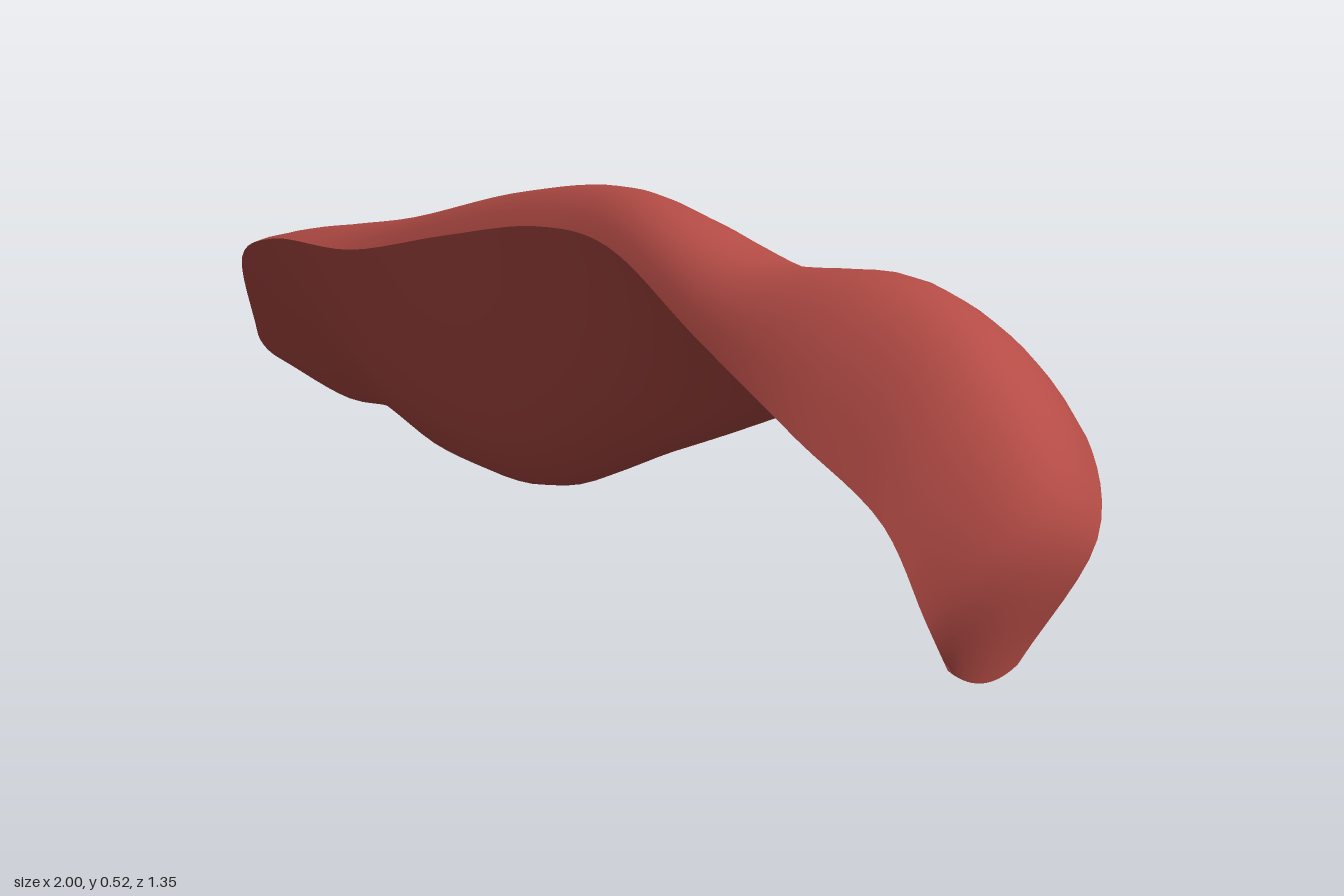
import * as THREE from 'three';

const curve = (points) =>
  new THREE.CatmullRomCurve3(points.map((p) => new THREE.Vector3(...p)), false, 'centripetal');

// Long lines of the body, all running from the pointed end to the hooked end
const frontEdge = curve([
  [-1, 0.09, -0.64], [-0.9, 0.25, -0.46], [-0.74, 0.315, -0.315], [-0.5, 0.345, -0.16],
  [-0.25, 0.41, -0.02], [0, 0.47, 0.14], [0.2, 0.485, 0.29], [0.43, 0.42, 0.46],
  [0.65, 0.345, 0.6], [0.8, 0.27, 0.66], [0.86, 0.17, 0.67], [0.875, 0.105, 0.64],
]);
const crest = curve([
  [-0.99, 0.06, -0.66], [-0.87, 0.2, -0.55], [-0.68, 0.29, -0.46], [-0.4, 0.38, -0.3],
  [-0.14, 0.455, -0.16], [0.1, 0.505, 0.02], [0.28, 0.515, 0.18], [0.47, 0.495, 0.32],
  [0.68, 0.51, 0.41], [0.86, 0.44, 0.52], [0.955, 0.28, 0.6], [0.91, 0.09, 0.62],
]);
const backEdge = curve([
  [-0.96, 0.04, -0.68], [-0.81, 0.02, -0.655], [-0.59, 0.13, -0.595], [-0.3, 0.25, -0.465],
  [-0.03, 0.28, -0.315], [0.16, 0.31, -0.14], [0.4, 0.33, 0], [0.6, 0.35, 0.11],
  [0.77, 0.36, 0.25], [0.925, 0.34, 0.39], [1, 0.25, 0.51], [0.94, 0.11, 0.59],
]);
const keel = curve([
  [-0.99, 0.06, -0.66], [-0.85, 0.04, -0.61], [-0.68, 0.035, -0.52], [-0.4, 0.03, -0.3],
  [-0.16, 0.05, -0.14], [0.08, 0.15, 0], [0.3, 0.25, 0.13], [0.49, 0.34, 0.26],
  [0.66, 0.43, 0.39], [0.81, 0.36, 0.5], [0.87, 0.24, 0.54], [0.91, 0.09, 0.62],
]);

// Smooth skin whose cross-sections arch from one line through a second to a third
function skin(a, b, c, rows = 66, cols = 14) {
  const positions = [];
  const index = [];
  for (let i = 0; i <= rows; i++) {
    const [p, m, q] = [a, b, c].map((line) => line.getPoint(i / rows));
    const control = m.clone().multiplyScalar(2).addScaledVector(p, -0.5).addScaledVector(q, -0.5);
    const arch = new THREE.QuadraticBezierCurve3(p, control, q);
    for (let j = 0; j <= cols; j++) {
      positions.push(...arch.getPoint(j / cols).toArray());
      if (i < rows && j < cols) {
        const k = i * (cols + 1) + j;
        const n = k + cols + 1;
        index.push(k, n, k + 1, n, n + 1, k + 1);
      }
    }
  }
  const geometry = new THREE.BufferGeometry();
  geometry.setAttribute('position', new THREE.Float32BufferAttribute(positions, 3));
  geometry.setIndex(index);
  geometry.computeVertexNormals();
  return geometry;
}

export function createModel() {
  const group = new THREE.Group();
  group.name = 'curvedBody';
  const red = new THREE.MeshStandardMaterial({ color: 0xb54c46, side: THREE.DoubleSide });
  red.name = 'muted red';

  // Arched top, and underside that goes from keel to hollow hook
  const upper = new THREE.Mesh(skin(frontEdge, crest, backEdge), red);
  upper.name = 'upperSkin';
  const lower = new THREE.Mesh(skin(backEdge, keel, frontEdge), red);
  lower.name = 'lowerSkin';

  group.add(upper, lower);
  return group;
}
